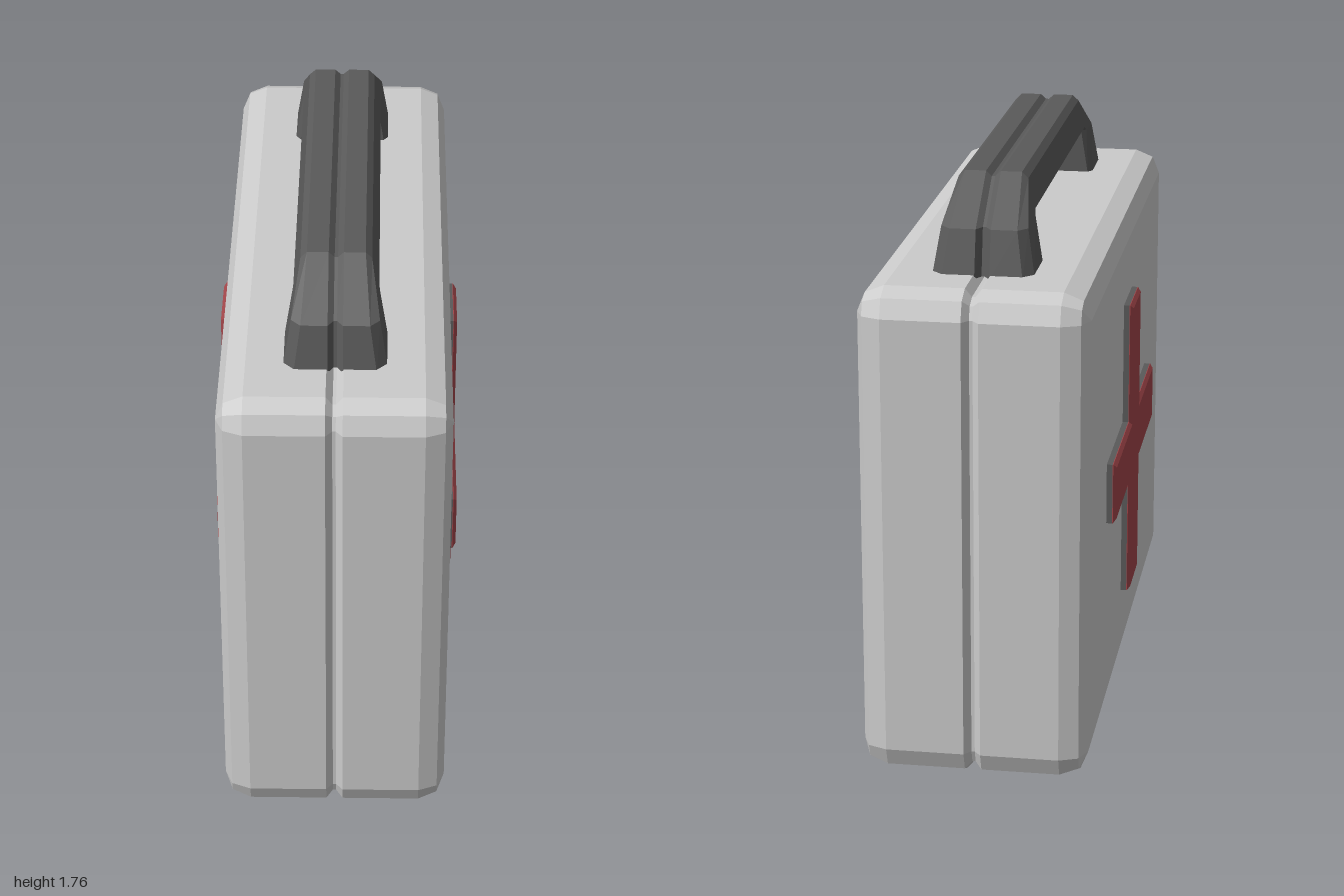
import * as THREE from 'three';

const material = (color) => new THREE.MeshStandardMaterial({ color, flatShading: true });

// Skin closed rings of [x, y, z] points and cap both ends
function loft(rings) {
  const n = rings[0].length, pos = [];
  const tri = (a, b, c) => pos.push(...a, ...b, ...c);
  for (let i = 0; i < rings.length - 1; i++) {
    for (let j = 0; j < n; j++) {
      const k = (j + 1) % n;
      const a = rings[i][j], b = rings[i][k], c = rings[i + 1][k], d = rings[i + 1][j];
      tri(a, b, c);
      tri(a, c, d);
    }
  }
  const centre = (ring) => [0, 1, 2].map((m) => ring.reduce((s, p) => s + p[m], 0) / n);
  const first = rings[0], last = rings[rings.length - 1];
  for (let j = 0; j < n; j++) {
    const k = (j + 1) % n;
    tri(centre(first), first[k], first[j]);
    tri(centre(last), last[j], last[k]);
  }
  const geometry = new THREE.BufferGeometry();
  geometry.setAttribute('position', new THREE.Float32BufferAttribute(pos, 3));
  geometry.computeVertexNormals();
  return geometry;
}

// Case outline at one x: a rectangle with two-facet rounded corners
function caseRing(x, inset) {
  const r = 0.08 - inset, points = [];
  for (let q = 0; q < 4; q++) {
    const sy = q === 0 || q === 3 ? 1 : -1;
    const sz = q < 2 ? 1 : -1;
    for (let s = 0; s < 3; s++) {
      const a = (q + s / 2) * Math.PI / 2;
      points.push([x, 0.75 + sy * 0.67 + r * Math.cos(a), sz * 0.92 + r * Math.sin(a)]);
    }
  }
  return points;
}

// Handle section between an inner and an outer [z, y] point, with a top groove
function handleRing({ inner, outer, low, high, top }) {
  const at = (x, t) => [
    x,
    inner[1] + (outer[1] - inner[1]) * t,
    inner[0] + (outer[0] - inner[0]) * t,
  ];
  return [
    at(-top, 1), at(-0.022, 1), at(-0.005, 0.87), at(0.005, 0.87), at(0.022, 1), at(top, 1),
    at(high, 0.85), at(low, 0.1), at(low - 0.015, 0),
    at(-low + 0.015, 0), at(-low, 0.1), at(-high, 0.85),
  ];
}

function crossShape() {
  const y0 = 0.275, y1 = 0.66, y2 = 0.85, y3 = 1.235, w = 0.11, W = 0.525;
  return new THREE.Shape([
    [-w, y0], [w, y0], [w, y1], [W, y1], [W, y2], [w, y2],
    [w, y3], [-w, y3], [-w, y2], [-W, y2], [-W, y1], [-w, y1],
  ].map(([x, y]) => new THREE.Vector2(x, y)));
}

export function createModel() {
  const model = new THREE.Group();
  const grey = material(0xcccccc), dark = material(0x5a5a5a), red = material(0xa3464a);
  const add = (parent, name, geometry, mat) => {
    const mesh = new THREE.Mesh(geometry, mat);
    mesh.name = name;
    parent.add(mesh);
    return mesh;
  };

  // Case: two rounded halves meeting at a narrow groove
  const half = [[0.005, 0.025], [0.025, 0], [0.26, 0], [0.317, 0.0234], [0.34, 0.08]];
  const stations = [...half.map(([x, i]) => [-x, i]).reverse(), ...half];
  add(model, 'case', loft(stations.map(([x, i]) => caseRing(x, i))), grey);

  // Handle: front foot, shoulder, bar, then the same mirrored to the back
  const frontHalf = [
    { inner: [0.565, 1.49], outer: [0.782, 1.49], low: 0.152, high: 0.151, top: 0.12 },
    { inner: [0.565, 1.64], outer: [0.75, 1.63], low: 0.128, high: 0.128, top: 0.1 },
    { inner: [0.565, 1.64], outer: [0.56, 1.76], low: 0.125, high: 0.104, top: 0.085 },
  ];
  const backHalf = frontHalf.map((s) => ({
    ...s,
    inner: [-s.inner[0], s.inner[1]],
    outer: [-s.outer[0], s.outer[1]],
  })).reverse();
  add(model, 'handle', loft([...frontHalf, ...backHalf].map(handleRing)), dark);

  // Raised cross on each broad side: dark backing and bevelled red face
  const backing = new THREE.ExtrudeGeometry(crossShape(), { depth: 0.028, bevelEnabled: false });
  const face = new THREE.ExtrudeGeometry(crossShape(), {
    depth: 0.002, bevelThickness: 0.01, bevelSize: 0.012, bevelOffset: -0.012, bevelSegments: 1,
  });
  for (const side of [1, -1]) {
    const cross = new THREE.Group();
    cross.name = side > 0 ? 'leftCross' : 'rightCross';
    cross.rotation.y = side * Math.PI / 2;
    add(cross, 'crossBacking', backing, dark).position.z = 0.33;
    add(cross, 'crossFace', face, red).position.z = 0.358;
    model.add(cross);
  }
  return model;
}
